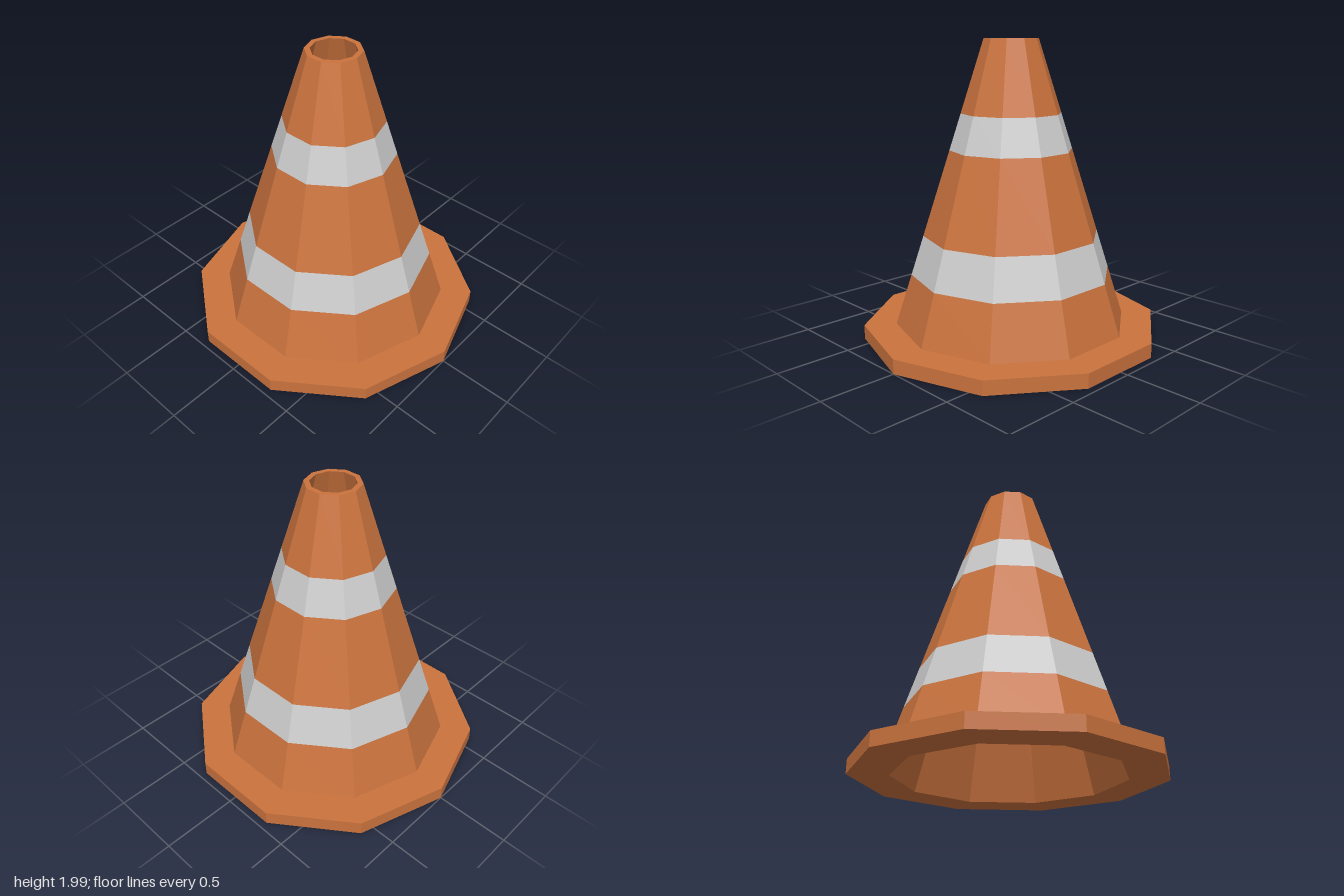
import * as THREE from 'three';

const SIDES = 10;
const BASE_TOP = 0.095, TOP = 1.99;
const FOOT_R = 0.785, TOP_R = 0.18;      // outer wall radii
const INNER_FOOT_R = 0.74, INNER_TOP_R = 0.145; // hollow inside radii

const orange = new THREE.MeshStandardMaterial({ color: 0xc9723d, flatShading: true });
const grey = new THREE.MeshStandardMaterial({ color: 0xcccccc, flatShading: true });

// Outer wall radius at a given height
const wallRadius = (y) =>
  THREE.MathUtils.mapLinear(y, BASE_TOP, TOP, FOOT_R, TOP_R);

// Ten-sided ring swept from [radius, height] points
function ring(name, points, material) {
  const profile = points.map(([r, y]) => new THREE.Vector2(r, y));
  const mesh = new THREE.Mesh(new THREE.LatheGeometry(profile, SIDES), material);
  mesh.name = name;
  return mesh;
}

export function createModel() {
  const cone = new THREE.Group();
  cone.name = 'trafficCone';

  // Flat foot with an open centre
  cone.add(ring('base',
    [[INNER_FOOT_R, 0], [1, 0], [1, BASE_TOP], [FOOT_R, BASE_TOP]], orange));

  // Outer wall, alternating body sections and reflective bands
  const levels = [BASE_TOP, 0.435, 0.70, 1.27, 1.51, TOP];
  const names = ['lowerBody', 'lowerBand', 'middleBody', 'upperBand', 'upperBody'];
  names.forEach((name, i) => {
    const [y0, y1] = [levels[i], levels[i + 1]];
    cone.add(ring(name, [[wallRadius(y0), y0], [wallRadius(y1), y1]],
      i % 2 ? grey : orange));
  });

  // Top rim and hollow inside
  cone.add(ring('topRim', [[TOP_R, TOP], [INNER_TOP_R, TOP]], orange));
  cone.add(ring('innerWall', [[INNER_TOP_R, TOP], [INNER_FOOT_R, 0]], orange));

  return cone;
}
